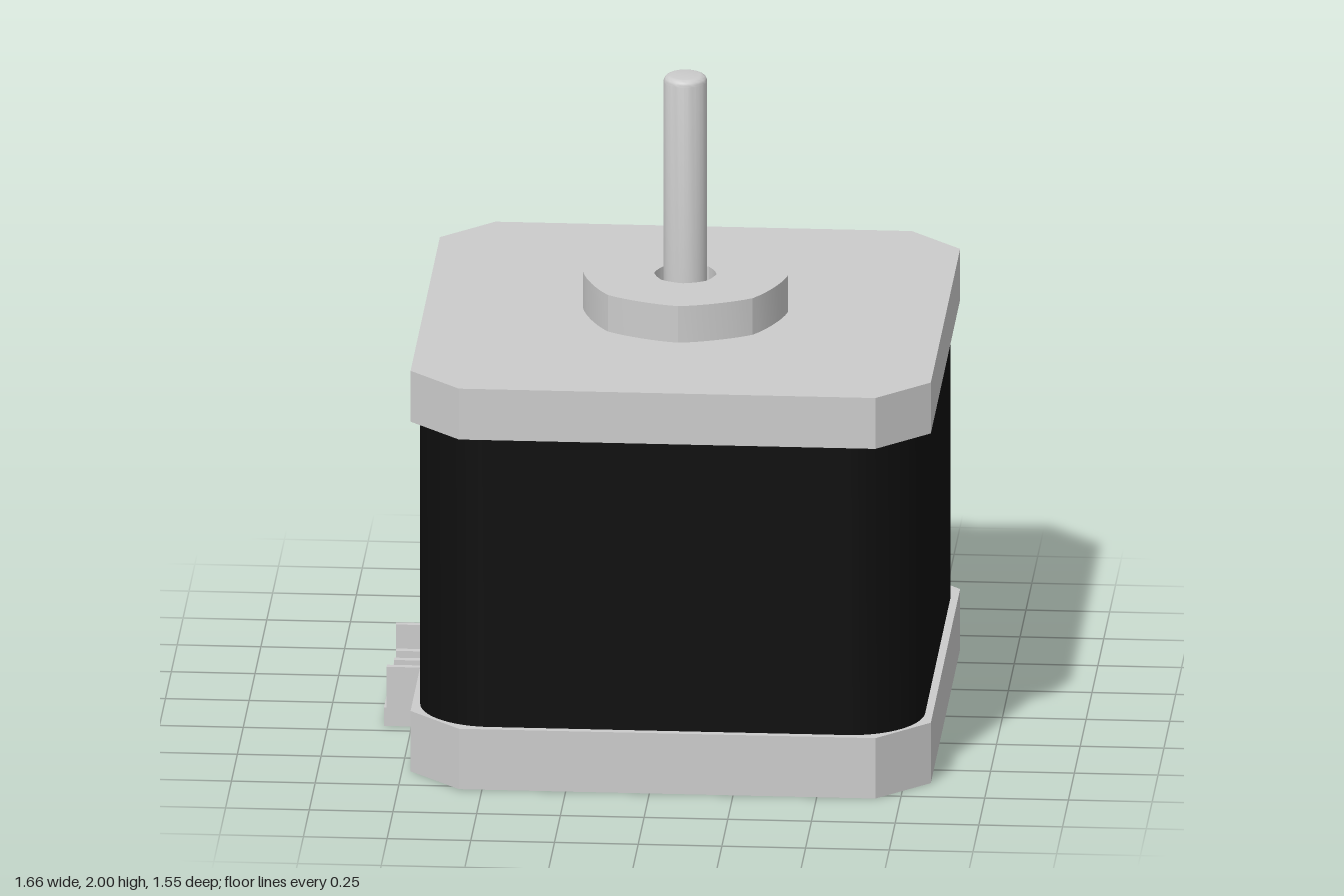
import * as THREE from 'three';
import { toCreasedNormals } from 'three/addons/utils/BufferGeometryUtils.js';

const CX = 0.053; // motor axis, shifted by the connector on one side

const grey = new THREE.MeshStandardMaterial({ color: 0xcccccc });
const black = new THREE.MeshStandardMaterial({ color: 0x0e0e0e });

// Square with cut corners; rounded corners when round is true
function squareShape(half, cut, round) {
  const s = new THREE.Shape();
  for (let i = 0; i < 4; i++) {
    const a = (i * Math.PI) / 2;
    const at = (x, y) => [x * Math.cos(a) - y * Math.sin(a), x * Math.sin(a) + y * Math.cos(a)];
    const c = half - cut;
    if (round) {
      s.absarc(...at(c, c), cut, a, a + Math.PI / 2, false);
    } else {
      const start = at(half, c);
      if (i === 0) s.moveTo(...start);
      else s.lineTo(...start);
      s.lineTo(...at(c, half));
    }
  }
  s.closePath();
  return s;
}

// Circle made of eight slightly flattened arcs
function lobedPoints(radius, flat) {
  const pts = [];
  for (let i = 0; i < 64; i++) {
    const a = (i / 64) * Math.PI * 2;
    const r = radius * (1 - flat * Math.abs(Math.sin(4 * a)));
    pts.push(new THREE.Vector2(r * Math.cos(a), r * Math.sin(a)));
  }
  return pts;
}

// Extrude a plan outline upward from y0 to y1
function slab(name, shape, y0, y1, material) {
  const geo = new THREE.ExtrudeGeometry(shape, { depth: y1 - y0, bevelEnabled: false, curveSegments: 12 });
  geo.rotateX(-Math.PI / 2);
  const mesh = new THREE.Mesh(toCreasedNormals(geo, 0.35), material);
  mesh.name = name;
  mesh.position.set(CX, y0, 0);
  return mesh;
}

function box(name, x0, x1, y0, y1, z0, z1) {
  const mesh = new THREE.Mesh(new THREE.BoxGeometry(x1 - x0, y1 - y0, z1 - z0), grey);
  mesh.name = name;
  mesh.position.set((x0 + x1) / 2, (y0 + y1) / 2, (z0 + z1) / 2);
  return mesh;
}

export function createModel() {
  const model = new THREE.Group();
  model.name = 'stepperMotor';

  // End plates and laminated body
  const plate = squareShape(0.777, 0.155, false);
  model.add(slab('bottomPlate', plate, 0, 0.19, grey));
  model.add(slab('body', squareShape(0.754, 0.22, true), 0.19, 1.1, black));
  model.add(slab('topPlate', plate, 1.1, 1.26, grey));

  // Pilot boss with a clearance hole around the shaft
  const boss = new THREE.Shape(lobedPoints(0.306, 0.035));
  boss.holes.push(new THREE.Path(lobedPoints(0.093, 0.035).reverse()));
  model.add(slab('boss', boss, 1.26, 1.375, grey));

  // Shaft with a rounded tip
  const profile = [new THREE.Vector2(0.065, 0)];
  for (let i = 0; i <= 5; i++) {
    const a = (i / 5) * (Math.PI / 2);
    profile.push(new THREE.Vector2(0.045 + 0.02 * Math.cos(a), 0.72 + 0.02 * Math.sin(a)));
  }
  profile.push(new THREE.Vector2(0, 0.74));
  const shaft = new THREE.Mesh(toCreasedNormals(new THREE.LatheGeometry(profile, 32), 0.5), grey);
  shaft.name = 'shaft';
  shaft.position.set(CX, 1.26, 0);
  model.add(shaft);

  // Connector: base, two end walls and four pins
  const connector = new THREE.Group();
  connector.name = 'connector';
  connector.add(box('connectorBase', -0.833, -0.72, 0, 0.058, -0.207, 0.207));
  for (const side of [-1, 1]) {
    const z = side * 0.197;
    connector.add(box('connectorWall', -0.825, -0.72, 0.058, 0.186, z - 0.01, z + 0.01));
  }
  for (let i = 0; i < 4; i++) {
    const z = (i - 1.5) * 0.085;
    connector.add(box('connectorPin', -0.82, -0.72, 0.105, 0.127, z - 0.011, z + 0.011));
  }
  model.add(connector);

  return model;
}
